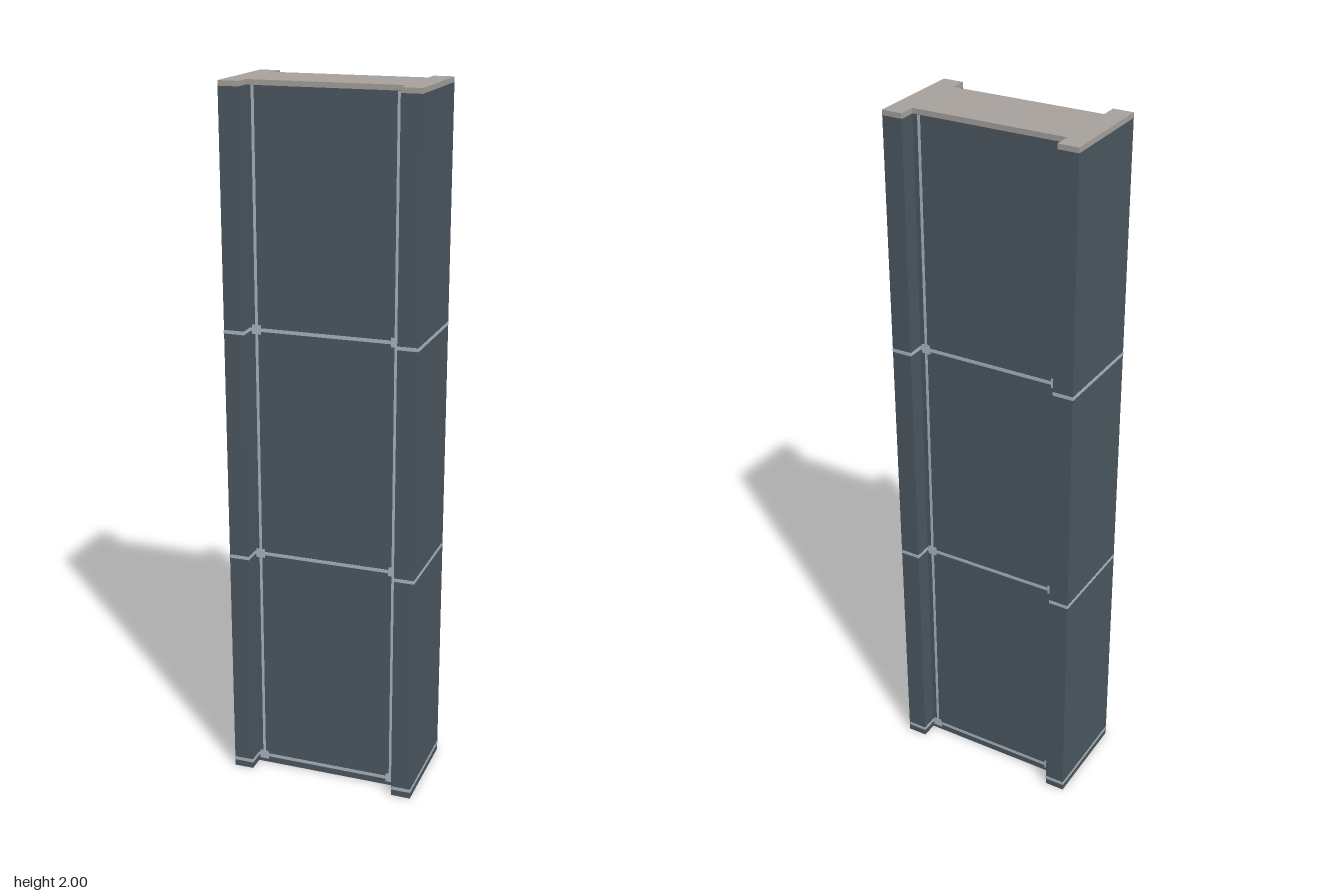
import * as THREE from 'three';

const panelMat = new THREE.MeshStandardMaterial({ name: 'darkSlatePanel', color: 0x4c5961 });
const capMat = new THREE.MeshStandardMaterial({ name: 'warmGreyCap', color: 0xa8a39e });
const trimMat = new THREE.MeshStandardMaterial({ name: 'paleTrim', color: 0xadb9c4 });

const HALF_X = 0.272, HALF_Z = 0.144, FLANGE_X = 0.215, WEB_Z = 0.096;

// H-shaped outline, grown outward (or shrunk when negative) by d
function outline(d) {
  const X = HALF_X + d, Z = HALF_Z + d, f = FLANGE_X - d, w = WEB_Z + d;
  return [
    [-X, -Z], [-f, -Z], [-f, -w], [f, -w], [f, -Z], [X, -Z],
    [X, Z], [f, Z], [f, w], [-f, w], [-f, Z], [-X, Z],
  ].map(([x, z]) => new THREE.Vector2(x, z));
}

// Upright H extrusion from y0 to y1; hollow when an inner offset is given
function hPrism(name, material, y0, y1, outer, inner) {
  const shape = new THREE.Shape(outline(outer));
  if (inner !== undefined) shape.holes.push(new THREE.Path(outline(inner)));
  const geo = new THREE.ExtrudeGeometry(shape, { depth: y1 - y0, bevelEnabled: false });
  geo.rotateX(-Math.PI / 2);
  geo.translate(0, y0, 0);
  const mesh = new THREE.Mesh(geo, material);
  mesh.name = name;
  return mesh;
}

function box(name, w, h, d, x, y, z) {
  const mesh = new THREE.Mesh(new THREE.BoxGeometry(w, h, d), trimMat);
  mesh.name = name;
  mesh.position.set(x, y, z);
  return mesh;
}

export function createModel() {
  const model = new THREE.Group();
  model.name = 'pillar';

  // Hollow shaft, open underneath, closed by a cap slab
  model.add(hPrism('shaft', panelMat, 0, 1.986, 0, -0.003));
  model.add(hPrism('cap', capMat, 1.986, 2, 0));

  // Horizontal seams, showing on both faces of the wall
  const seams = [0.024, 0.682, 1.34];
  for (const y of seams) {
    model.add(hPrism('seamBand', trimMat, y - 0.005, y + 0.005, 0.0008, -0.0038));
  }

  // Vertical seams and small joint plates on the front and back web
  for (const sx of [-1, 1]) {
    for (const sz of [-1, 1]) {
      const x = sx * 0.197, z = sz * (WEB_Z - 0.0015);
      model.add(box('verticalSeam', 0.008, 1.96, 0.0046, x, 1.005, z));
      for (const y of seams) {
        model.add(box('jointPlate', 0.026, 0.026, 0.006, x, y, z));
      }
    }
  }
  return model;
}
